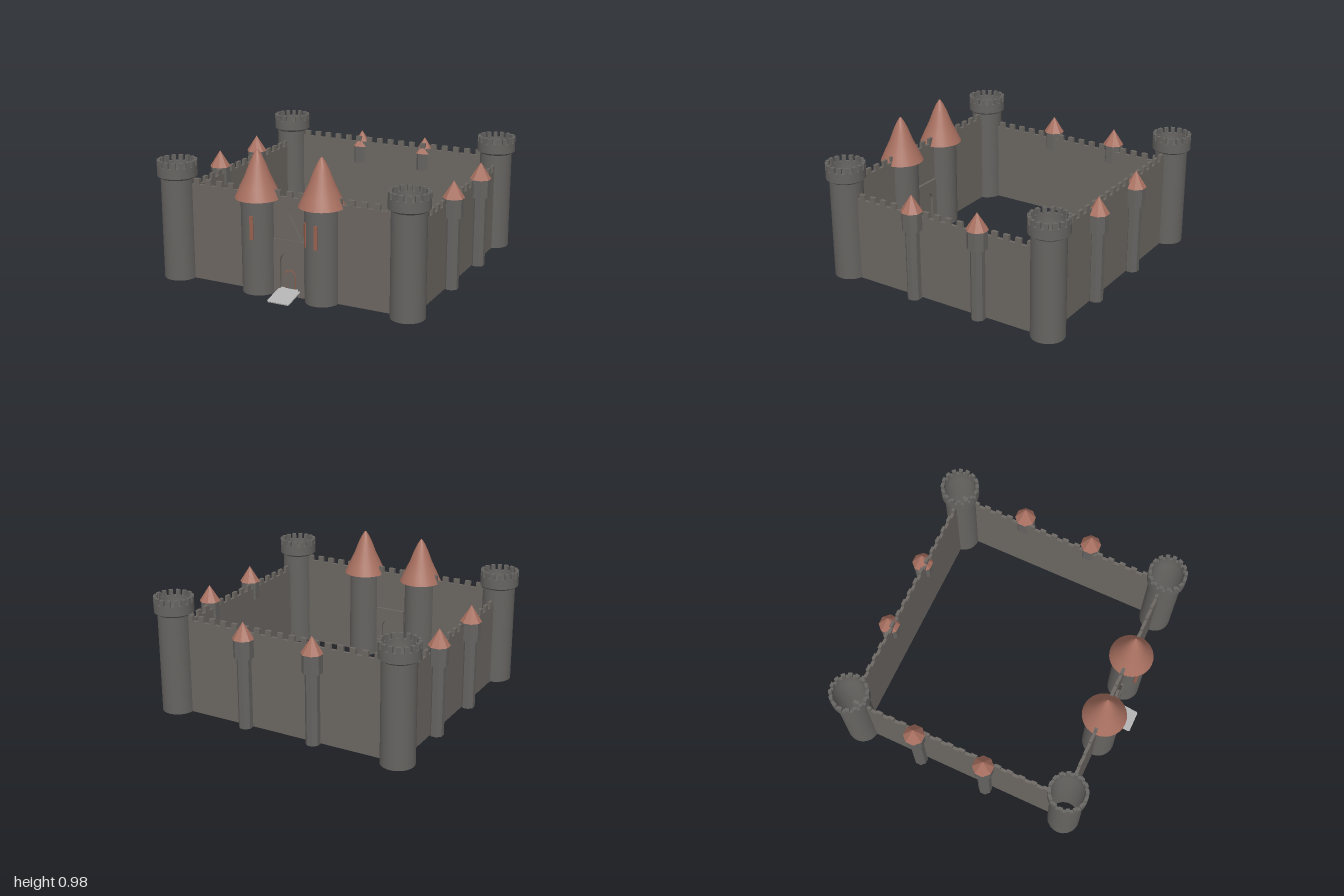
import * as THREE from 'three';
import { toCreasedNormals } from 'three/addons/utils/BufferGeometryUtils.js';

const material = (name, color, extra = {}) => {
  const m = new THREE.MeshStandardMaterial({ color, ...extra });
  m.name = name;
  return m;
};

export function createModel() {
  const root = new THREE.Group();
  const wallStone = material('wall stone', 0x6c6762);
  const towerStone = material('tower stone', 0x666461);
  const roofTile = material('roof tile', 0xa87060);
  const facetRoof = roofTile;
  const slitRed = material('window red', 0x96604f);
  const bridgeGrey = material('bridge grey', 0xb2b2b2);

  const add = (parent, name, geometry, mat, x = 0, y = 0, z = 0) => {
    const mesh = new THREE.Mesh(geometry, mat);
    mesh.name = name;
    mesh.position.set(x, y, z);
    parent.add(mesh);
    return mesh;
  };
  const group = (name, x, z) => {
    const g = new THREE.Group();
    g.name = name;
    g.position.set(x, 0, z);
    root.add(g);
    return g;
  };
  const extrude = (shape, depth) =>
    new THREE.ExtrudeGeometry(shape, { depth, bevelEnabled: false, curveSegments: 12 });
  const lathe = (points, sides) => toCreasedNormals(
    new THREE.LatheGeometry(points.map(p => new THREE.Vector2(...p)), sides), 0.6);
  const flat = g => {
    const f = g.toNonIndexed();
    f.computeVertexNormals();
    return f;
  };

  // Curtain walls: one crenellated outline, extruded
  const wall = (name, from, to, height, phase) => {
    const period = 0.09, half = 0.0215, rise = 0.04, thick = 0.022;
    const s = new THREE.Shape();
    s.moveTo(from, 0);
    s.lineTo(to, 0);
    s.lineTo(to, height);
    const first = Math.floor((to - half - 0.005 - phase) / period);
    for (let k = first; phase + k * period - half > from + 0.005; k--) {
      const c = phase + k * period;
      s.lineTo(c + half, height);
      s.lineTo(c + half, height + rise);
      s.lineTo(c - half, height + rise);
      s.lineTo(c - half, height);
    }
    s.lineTo(from, height);
    const g = extrude(s, thick);
    g.translate(0, 0, -thick / 2);
    return add(root, name, g, wallStone);
  };
  wall('frontWall', -0.75, 0.82, 0.68, 0.01).position.z = 0.775;
  wall('backWall', -0.75, 0.78, 0.68, 0.01).position.z = -0.83;
  for (const [name, x] of [['leftWall', 0.88], ['rightWall', -0.86]]) {
    const w = wall(name, -0.84, 0.67, 0.6, 0.0);
    w.rotation.y = -Math.PI / 2;
    w.position.x = x;
  }

  // Corner towers: hollow shafts with a wider parapet
  const shaft = lathe([[0.112, 0], [0.116, 0], [0.116, 0.715], [0.138, 0.73],
    [0.138, 0.8], [0.115, 0.8], [0.115, 0.72], [0.112, 0.71], [0.112, 0]], 32);
  const merlonCount = 16;
  const arc = Math.PI / merlonCount * 1.15;
  const merlonShape = new THREE.Shape();
  merlonShape.absarc(0, 0, 0.138, -arc / 2, arc / 2, false);
  merlonShape.absarc(0, 0, 0.115, arc / 2, -arc / 2, true);
  const merlon = new THREE.ExtrudeGeometry(merlonShape, { depth: 0.04, bevelEnabled: false, curveSegments: 3 });
  merlon.rotateX(-Math.PI / 2);
  for (const x of [-0.862, 0.862]) for (const z of [-0.84, 0.786]) {
    const t = group('cornerTower', x, z);
    add(t, 'towerShaft', shaft, towerStone);
    for (let i = 0; i < merlonCount; i++) {
      add(t, 'towerMerlon', merlon, towerStone, 0, 0.8).rotation.y = i * 2 * Math.PI / merlonCount;
    }
  }

  // Gate towers with flared conical roofs
  const gateShaft = new THREE.CylinderGeometry(0.117, 0.117, 0.67, 32);
  const gateRoof = lathe([[0, 0.665], [0.117, 0.665], [0.156, 0.655], [0.122, 0.73],
    [0.084, 0.81], [0.054, 0.89], [0.028, 0.945], [0.006, 0.98], [0, 0.98]], 28);
  const slit = new THREE.BoxGeometry(0.026, 0.165, 0.008);
  const slitOn = (parent, angle) => {
    const r = 0.118;
    add(parent, 'windowSlit', slit, slitRed, Math.sin(angle) * r, 0.473, Math.cos(angle) * r)
      .rotation.y = angle;
  };
  for (const x of [-0.227, 0.249]) {
    const t = group('gateTower', x, 0.783);
    add(t, 'gateTowerShaft', gateShaft, towerStone, 0, 0.335);
    add(t, 'gateTowerRoof', gateRoof, roofTile);
    slitOn(t, 0.11);
    if (x > 0) slitOn(t, -0.74);
  }

  // Wall turrets: slim shaft, wider head, pointed roof
  const turretShaft = flat(new THREE.CylinderGeometry(0.05, 0.05, 0.53, 8));
  const turretHead = flat(new THREE.CylinderGeometry(0.07, 0.07, 0.135, 8));
  const turretRoof = flat(new THREE.ConeGeometry(0.076, 0.118, 8));
  const turrets = [[-0.25, -0.866], [0.28, -0.866]];
  for (const z of [-0.343, 0.18]) turrets.push([-0.903, z], [0.922, z]);
  for (const [x, z] of turrets) {
    const t = group('wallTurret', x, z);
    t.rotation.y = Math.PI / 8;
    add(t, 'turretShaft', turretShaft, towerStone, 0, 0.265);
    add(t, 'turretHead', turretHead, towerStone, 0, 0.5775);
    add(t, 'turretRoof', turretRoof, facetRoof, 0, 0.701);
  }

  // Gatehouse: gabled front with nested arches
  const gate = group('gatehouse', 0.01, 0.775);
  const archPath = (path, half, top) => {
    path.moveTo(half, 0);
    path.lineTo(half, top - half);
    path.absarc(0, top - half, half, 0, Math.PI, false);
    path.lineTo(-half, 0);
    path.closePath();
    return path;
  };
  const slab = (gabled) => {
    const s = new THREE.Shape();
    s.moveTo(-0.115, 0);
    s.lineTo(-0.067, 0);
    s.lineTo(-0.067, 0.238);
    s.absarc(0, 0.238, 0.067, Math.PI, 0, true);
    s.lineTo(0.067, 0);
    s.lineTo(0.115, 0);
    s.lineTo(0.115, 0.39);
    if (gabled) {
      s.lineTo(0.1, 0.39);
      s.lineTo(0, 0.57);
      s.lineTo(-0.1, 0.39);
    }
    s.lineTo(-0.115, 0.39);
    return extrude(s, 0.02);
  };
  add(gate, 'gateFront', slab(true), wallStone, 0, 0, 0.01);
  add(gate, 'gateBack', slab(false), wallStone, 0, 0, -0.03);
  add(gate, 'gateLedge', new THREE.BoxGeometry(0.2, 0.008, 0.008), wallStone, 0, 0.39, 0.032);
  add(gate, 'doorTrim', extrude(archPath(new THREE.Shape(), 0.041, 0.18), 0.004), slitRed, 0, 0, 0.01);
  add(gate, 'door', extrude(archPath(new THREE.Shape(), 0.037, 0.172), 0.006), wallStone, 0, 0, 0.01);

  // Drawbridge: rounded plate sloping down to the ground
  const b = new THREE.Shape();
  b.moveTo(-0.082, 0);
  b.lineTo(-0.082, 0.175);
  b.quadraticCurveTo(-0.082, 0.19, -0.067, 0.19);
  b.lineTo(0.067, 0.19);
  b.quadraticCurveTo(0.082, 0.19, 0.082, 0.175);
  b.lineTo(0.082, 0);
  const plate = extrude(b, 0.008);
  plate.rotateX(Math.PI / 2);
  add(root, 'drawbridge', plate, bridgeGrey, 0.012, 0.05, 0.783).rotation.x = 0.215;

  return root;
}
